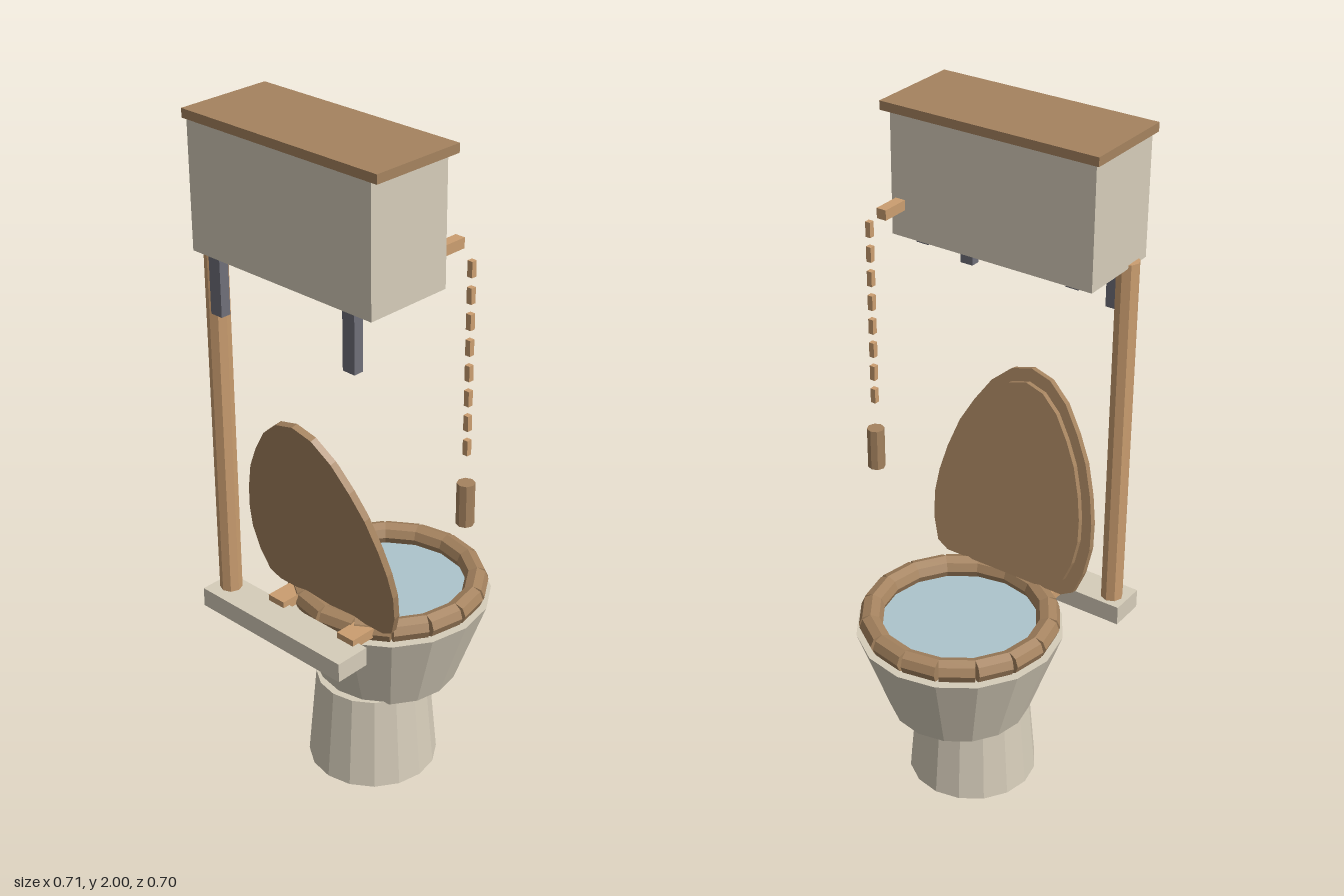
import * as THREE from 'three';

const mat = (name, color) => Object.assign(new THREE.MeshStandardMaterial({ color }), { name });

export function createModel() {
  const model = new THREE.Group();
  model.name = 'highTankToilet';

  const cream = mat('cream ceramic', 0xd6cdba);
  const wood = mat('brown wood', 0xa5835f);
  const copper = mat('copper', 0xcb9e70);
  const iron = mat('dark iron', 0x6f6f79);
  const water = mat('water', 0xadc4cc);

  // Faceted mesh helper
  function add(name, geometry, material, x = 0, y = 0, z = 0, parent = model) {
    const g = geometry.index ? geometry.toNonIndexed() : geometry;
    g.computeVertexNormals();
    const mesh = new THREE.Mesh(g, material);
    mesh.name = name;
    mesh.position.set(x, y, z);
    parent.add(mesh);
    return mesh;
  }
  // Box given by its extents on each axis
  const box = (name, material, [x0, x1], [y0, y1], [z0, z1]) =>
    add(name, new THREE.BoxGeometry(x1 - x0, y1 - y0, z1 - z0), material,
      (x0 + x1) / 2, (y0 + y1) / 2, (z0 + z1) / 2);
  // Upright cylinder between two heights
  const column = (name, material, rTop, rBottom, sides, x, z, y0, y1) =>
    add(name, new THREE.CylinderGeometry(rTop, rBottom, y1 - y0, sides), material, x, (y0 + y1) / 2, z);

  const cx = -0.005, bowlZ = -0.05;

  // Pedestal, bowl and water
  column('pedestal', cream, 0.165, 0.19, 16, cx, 0.015, 0, 0.285);
  column('bowl', cream, 0.298, 0.205, 16, cx, bowlZ, 0.275, 0.54);
  column('bowlWater', water, 0.24, 0.24, 16, cx, bowlZ, 0.54, 0.549);

  // Seat ring made of sixteen octagonal segments
  const seat = new THREE.Group();
  seat.name = 'seat';
  seat.position.set(cx, 0.57, bowlZ);
  model.add(seat);
  for (let i = 0; i < 16; i++) {
    const a = (i + 0.5) * Math.PI / 8;
    const g = new THREE.CylinderGeometry(0.034, 0.034, 0.1, 8).rotateZ(Math.PI / 2);
    const segment = add('seatSegment', g, wood, Math.sin(a) * 0.251, 0, Math.cos(a) * 0.251, seat);
    segment.rotation.y = a;
  }

  // Raised lid with a smaller inner panel, leaning back
  const half = [[0.2, 0], [0.237, 0.02], [0.26, 0.085], [0.27, 0.165], [0.263, 0.24], [0.245, 0.32],
    [0.215, 0.41], [0.175, 0.485], [0.125, 0.56], [0.065, 0.612]];
  const outline = [...half, [0, 0.63], ...half.slice().reverse().map(([x, y]) => [-x, y])];
  const plate = (scale, depth) => new THREE.ExtrudeGeometry(
    new THREE.Shape(outline.map(([x, y]) => new THREE.Vector2(x * scale, 0.31 + (y - 0.31) * scale))),
    { depth, bevelEnabled: false });
  const lid = new THREE.Group();
  lid.name = 'lid';
  lid.position.set(cx, 0.6, 0.167);
  lid.rotation.x = THREE.MathUtils.degToRad(12);
  model.add(lid);
  add('lidPlate', plate(1, 0.02), wood, 0, 0, 0, lid);
  add('lidInnerPanel', plate(0.88, 0.018), wood, 0, 0, -0.018, lid);

  // Ledge behind the bowl and the two hinges
  box('ledge', cream, [-0.354, 0.185], [0.513, 0.571], [0.24, 0.348]);
  for (const x of [-0.145, 0.125])
    box('hinge', copper, [x - 0.03, x + 0.03], [0.56, 0.59], [0.17, 0.262]);

  // Flush pipe
  column('flushPipe', copper, 0.032, 0.032, 8, -0.306, 0.285, 0.56, 1.635);

  // Tank, tank lid and wall brackets
  box('tank', cream, [-0.321, 0.308], [1.625, 1.975], [0.083, 0.348]);
  box('tankLid', wood, [-0.339, 0.326], [1.975, 2], [0.063, 0.348]);
  for (const x of [-0.243, 0.232]) {
    box('bracketArm', iron, [x - 0.02, x + 0.02], [1.605, 1.625], [0.113, 0.348]);
    box('bracketLeg', iron, [x - 0.02, x + 0.02], [1.465, 1.605], [0.318, 0.348]);
  }

  // Lever, chain and pull handle
  box('lever', copper, [0.265, 0.295], [1.703, 1.732], [0, 0.09]);
  for (let i = 0; i < 8; i++) {
    const top = 1.683 - i * 0.072;
    box('chainLink', copper, [0.319, 0.335], [top - 0.044, top], [0, 0.016]);
  }
  column('pullHandle', wood, 0.025, 0.025, 8, 0.327, 0.008, 0.925, 1.05);

  return model;
}
